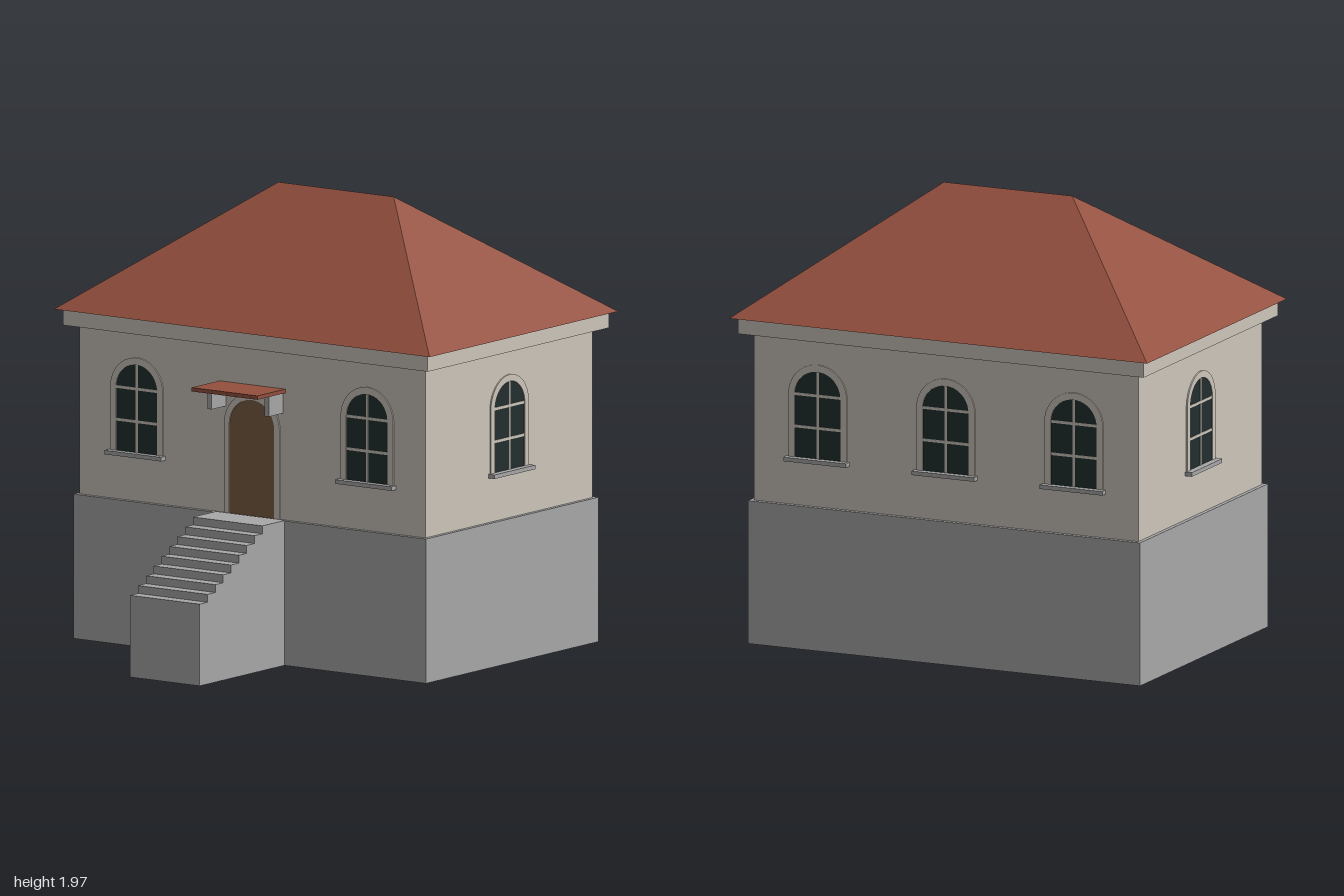
import * as THREE from 'three';

const mat = (name, color, extra = {}) => {
  const m = new THREE.MeshStandardMaterial({ color, ...extra });
  m.name = name;
  return m;
};

const CZ = -0.28; // centre of the house in z
const HX = 0.92, HZ = 0.613; // half width and half depth of the walls

export function createModel() {
  const plaster = mat('plaster', 0xccc5bb);
  const stone = mat('stone', 0xa8a8a8);
  const hollowStone = mat('foundation stone', 0xa8a8a8, { side: THREE.DoubleSide });
  const tile = mat('roof tile', 0x94503f);
  const glass = mat('window glass', 0x222e2e);
  const wood = mat('door wood', 0x7a5d44);

  const house = new THREE.Group();
  house.name = 'house';

  const add = (parent, name, geo, material, x = 0, y = 0, z = 0) => {
    const m = new THREE.Mesh(geo, material);
    m.name = name;
    m.position.set(x, y, z);
    parent.add(m);
    return m;
  };
  // box given by its lower and upper y
  const box = (parent, name, material, w, y0, y1, d, x, z) =>
    add(parent, name, new THREE.BoxGeometry(w, y1 - y0, d), material, x, (y0 + y1) / 2, z);

  // round-headed outline: half width r, straight sides up to the spring line
  const arch = (r, spring, Type = THREE.Shape) => {
    const s = new Type();
    s.moveTo(-r, 0);
    s.lineTo(r, 0);
    s.lineTo(r, spring);
    s.absarc(0, spring, r, 0, Math.PI, false);
    s.lineTo(-r, 0);
    return s;
  };
  const plate = (shape, depth) =>
    new THREE.ExtrudeGeometry(shape, { depth, bevelEnabled: false, curveSegments: 10 });
  const archFrame = (inner, outer, spring) => {
    const s = arch(outer, spring);
    s.holes.push(arch(inner, spring, THREE.Path));
    return plate(s, 0.006);
  };

  // foundation, open underneath
  const baseGeo = new THREE.BoxGeometry(1.876, 0.632, 1.266);
  const idx = Array.from(baseGeo.index.array);
  idx.splice(18, 6);
  baseGeo.setIndex(idx);
  baseGeo.clearGroups();
  add(house, 'foundation', baseGeo, hollowStone, 0, 0.316, CZ);

  // walls and cornice
  box(house, 'walls', plaster, HX * 2, 0.632, 1.372, HZ * 2, 0, CZ);
  box(house, 'cornice', plaster, 1.94, 1.372, 1.442, 1.328, 0, CZ);

  // hipped roof: four eave corners and two ridge ends
  const E = 1.443, R = 1.972;
  const p = [
    [-1, E, CZ + 0.692], [1, E, CZ + 0.692], [1, E, CZ - 0.692], [-1, E, CZ - 0.692],
    [-0.307, R, CZ], [0.307, R, CZ],
  ];
  const faces = [0, 1, 5, 0, 5, 4, 1, 2, 5, 2, 3, 4, 2, 4, 5, 3, 0, 4, 0, 3, 2, 0, 2, 1];
  const roofGeo = new THREE.BufferGeometry();
  roofGeo.setAttribute('position', new THREE.Float32BufferAttribute(faces.flatMap(i => p[i]), 3));
  roofGeo.computeVertexNormals();
  add(house, 'roof', roofGeo, tile);

  // staircase: stepped side profile extruded across x
  const steps = 8, rise = 0.0345, run = 0.0575;
  const profile = new THREE.Shape();
  profile.moveTo(0.345, 0);
  profile.lineTo(0.345, 0.634);
  for (let i = 0; i <= steps; i++) {
    const z = 0.515 + i * run, y = 0.634 - i * rise;
    profile.lineTo(z, y);
    if (i < steps) profile.lineTo(z, y - rise);
  }
  profile.lineTo(0.515 + steps * run, 0);
  const stairGeo = new THREE.ExtrudeGeometry(profile, { depth: 0.37, bevelEnabled: false });
  stairGeo.rotateY(-Math.PI / 2);
  stairGeo.translate(0.185, 0, 0);
  add(house, 'staircase', stairGeo, stone);

  // arched window facing +z, standing on its sill at y = 0
  const makeWindow = () => {
    const w = new THREE.Group();
    w.name = 'window';
    const spring = 0.28;
    add(w, 'windowPane', plate(arch(0.11, spring), 0.002), glass);
    add(w, 'windowFrame', archFrame(0.11, 0.14, spring), plaster);
    box(w, 'verticalBar', plaster, 0.012, 0, 0.388, 0.004, 0, 0.002);
    for (const y of [0.14, 0.283]) box(w, 'crossBar', plaster, 0.22, y - 0.006, y + 0.006, 0.004, 0, 0.002);
    box(w, 'windowSill', stone, 0.3, -0.014, 0.004, 0.032, 0, 0.016);
    return w;
  };
  const front = CZ + HZ, back = CZ - HZ;
  const places = [
    [-0.613, front, 0], [0.613, front, 0],
    [-0.613, back, Math.PI], [0, back, Math.PI], [0.613, back, Math.PI],
    [HX, CZ, Math.PI / 2], [-HX, CZ, -Math.PI / 2],
  ];
  for (const [x, z, turn] of places) {
    const w = makeWindow();
    w.position.set(x, 0.84, z);
    w.rotation.y = turn;
    house.add(w);
  }

  // arched door
  add(house, 'door', plate(arch(0.12, 0.388), 0.002), wood, 0, 0.632, front);
  add(house, 'doorFrame', archFrame(0.12, 0.148, 0.388), plaster, 0, 0.632, front);

  // canopy on two brackets
  box(house, 'canopy', tile, 0.35, 1.188, 1.205, 0.205, 0, front + 0.1025);
  for (const s of [-1, 1]) box(house, 'canopyBracket', stone, 0.022, 1.098, 1.188, 0.104, s * 0.152, front + 0.052);

  return house;
}
